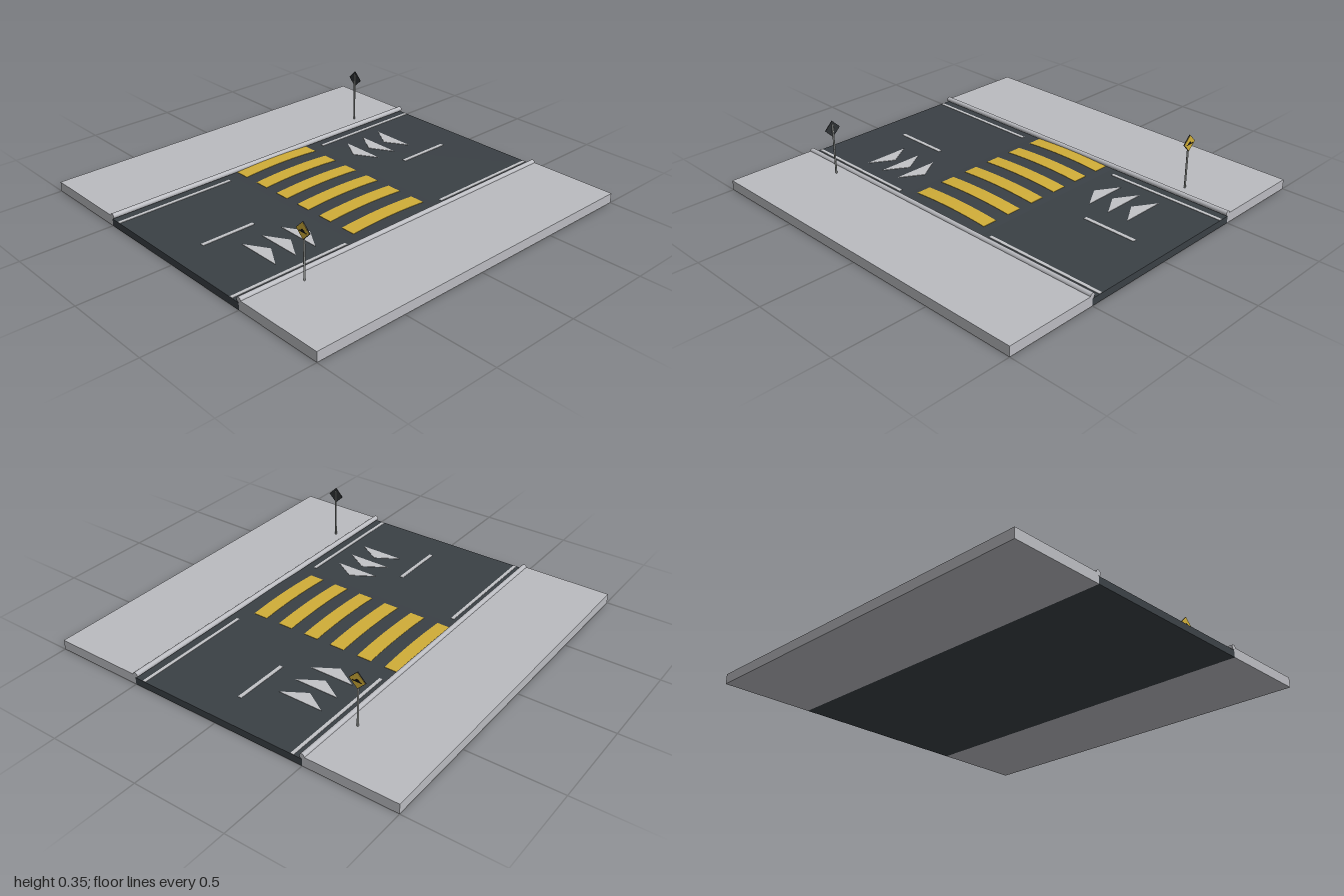
import * as THREE from 'three';

const mat = (name, color, side = THREE.FrontSide) => {
  const m = new THREE.MeshStandardMaterial({ color, side });
  m.name = name;
  return m;
};

const ROAD_Y = 0.038, HUMP_H = 0.013, HUMP_Z = 0.28, PAINT = 0.002;

// Height of the road surface, with the speed hump across the middle
const roadHeight = (z) => ROAD_Y + HUMP_H * Math.max(0, 1 - (z / HUMP_Z) ** 2);

// Points along the road surface from -z to +z
function surface(zMax, lift, steps = 20) {
  const pts = [];
  for (let i = 0; i <= steps; i++) {
    const z = -zMax + (2 * zMax * i) / steps;
    pts.push(new THREE.Vector2(z, roadHeight(z) + lift));
  }
  return pts;
}

// Extrudes a z-y profile along x, centred on x
function extrudeAcross(points, width) {
  const g = new THREE.ExtrudeGeometry(new THREE.Shape(points), { depth: width, bevelEnabled: false });
  g.translate(0, 0, -width / 2);
  g.rotateY(Math.PI / 2);
  return g;
}

export function createModel() {
  const asphalt = mat('asphalt', 0x3a4045);
  const concrete = mat('concrete', 0xbabbc0);
  const white = mat('road paint', 0xc2c3c6);
  const yellow = mat('yellow paint', 0xd0ad38);
  const steel = mat('pole steel', 0x8e918f);
  const dark = mat('sign dark', 0x2e3134);
  const black = mat('symbol black', 0x121212);

  const root = new THREE.Group();
  root.name = 'raisedCrossing';
  const add = (parent, name, geo, material, x = 0, y = 0, z = 0) => {
    const m = new THREE.Mesh(geo, material);
    m.name = name;
    m.position.set(x, y, z);
    parent.add(m);
    return m;
  };

  // Road slab with hump
  const V = (x, y) => new THREE.Vector2(x, y);
  add(root, 'road', extrudeAcross([V(-1, 0), V(-1, ROAD_Y), ...surface(HUMP_Z, 0), V(1, ROAD_Y), V(1, 0)], 1), asphalt);

  // Sidewalks and rounded curbs
  for (const s of [-1, 1]) {
    add(root, 'sidewalk', new THREE.BoxGeometry(0.5, 0.053, 2), concrete, s * 0.75, 0.0265, 0);
    const curb = new THREE.CylinderGeometry(0.014, 0.014, 2, 16);
    curb.rotateX(Math.PI / 2);
    add(root, 'curb', curb, concrete, s * 0.5, 0.053, 0);
  }

  // Crossing stripes that follow the hump
  for (let i = 0; i < 6; i++) {
    const stripe = extrudeAcross([...surface(0.24, 0), ...surface(0.24, PAINT).reverse()], 0.082);
    add(root, 'crossingStripe', stripe, yellow, -0.449 + i * 0.163, 0, 0);
  }

  // Edge lines, centre dashes and arrow triangles, repeated at both ends
  for (const s of [-1, 1]) {
    const half = new THREE.Group();
    half.name = s > 0 ? 'frontMarkings' : 'backMarkings';
    half.rotation.y = s > 0 ? 0 : Math.PI;
    root.add(half);
    const y = ROAD_Y + PAINT / 2;
    for (const x of [-0.445, 0.445]) {
      add(half, 'edgeLine', new THREE.BoxGeometry(0.018, PAINT, 0.675), white, x, y, 0.6615);
    }
    add(half, 'centreDash', new THREE.BoxGeometry(0.02, PAINT, 0.305), white, 0, y, 0.675);
    for (let i = 0; i < 3; i++) {
      const tri = new THREE.ExtrudeGeometry(
        new THREE.Shape([V(-0.123, -0.075), V(0.123, -0.075), V(0, 0)]),
        { depth: PAINT, bevelEnabled: false });
      tri.rotateX(-Math.PI / 2);
      add(half, 'arrowTriangle', tri, white, 0.243, ROAD_Y, 0.371 + i * 0.12);
    }
  }

  // Warning signs, each facing oncoming traffic
  for (const s of [-1, 1]) {
    const sign = new THREE.Group();
    sign.name = 'warningSign';
    sign.position.set(s * 0.572, 0, s * 0.691);
    sign.rotation.y = s > 0 ? 0 : Math.PI;
    root.add(sign);
    add(sign, 'pole', new THREE.CylinderGeometry(0.005, 0.005, 0.28, 12), steel, 0, 0.19, 0);
    const plate = add(sign, 'signPlate', new THREE.BoxGeometry(0.064, 0.064, 0.004), dark, 0, 0.304, 0.004);
    const face = add(sign, 'signFace', new THREE.BoxGeometry(0.06, 0.06, 0.002), yellow, 0, 0.304, 0.0065);
    plate.rotation.z = face.rotation.z = Math.PI / 4;
    // Hump symbol
    const symbol = new THREE.Shape();
    symbol.moveTo(-0.026, -0.006);
    symbol.lineTo(0.026, -0.006);
    symbol.lineTo(0.026, -0.002);
    symbol.lineTo(0.016, -0.002);
    symbol.quadraticCurveTo(0, 0.02, -0.016, -0.002);
    symbol.lineTo(-0.026, -0.002);
    add(sign, 'humpSymbol', new THREE.ExtrudeGeometry(symbol, { depth: 0.001, bevelEnabled: false }), black, 0, 0.302, 0.0075);
  }

  return root;
}
